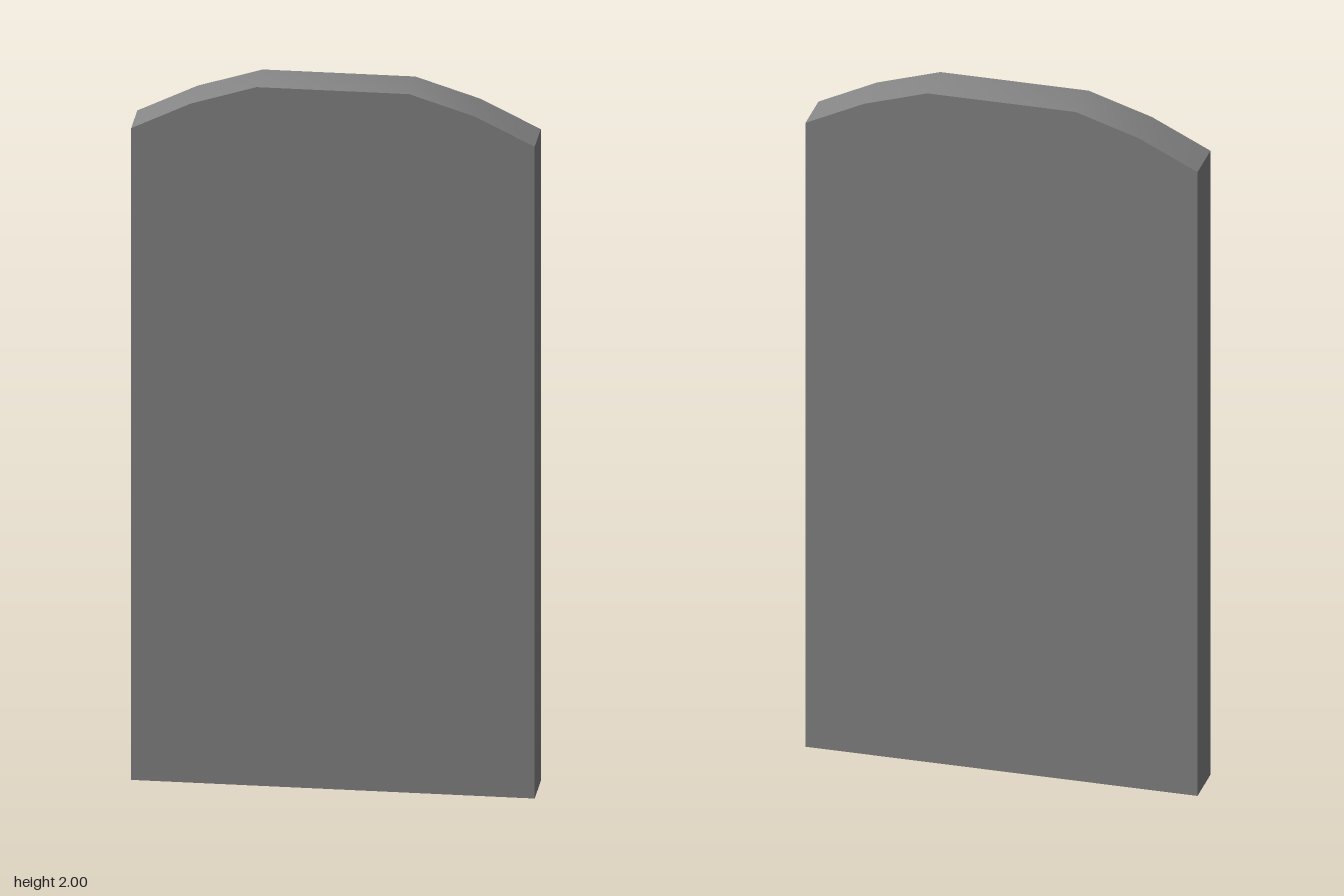
import * as THREE from 'three';
import { toCreasedNormals } from 'three/addons/utils/BufferGeometryUtils.js';

const HALF = 0.542, DEPTH = 0.13;
// Right half of the arch, from the shoulder to the flat crown
const ARCH = [[HALF, 1.866], [0.38, 1.945], [0.205, 2]];

export function createModel() {
  const group = new THREE.Group();
  group.name = 'archedPanel';

  // Outline: straight base and sides, arch mirrored about the centre
  const mirrored = ARCH.map(([x, y]) => [-x, y]).reverse();
  const points = [[-HALF, 0], [HALF, 0], ...ARCH, ...mirrored];
  const outline = new THREE.Shape(points.map(([x, y]) => new THREE.Vector2(x, y)));

  // Flat slab, with the arch shaded smoothly and the other edges sharp
  const geometry = new THREE.ExtrudeGeometry(outline, { depth: DEPTH, bevelEnabled: false });
  geometry.translate(0, 0, -DEPTH / 2);
  const slab = new THREE.Mesh(
    toCreasedNormals(geometry, Math.PI / 6),
    new THREE.MeshStandardMaterial({ color: 0x868686 }),
  );
  slab.name = 'slab';
  group.add(slab);

  return group;
}
